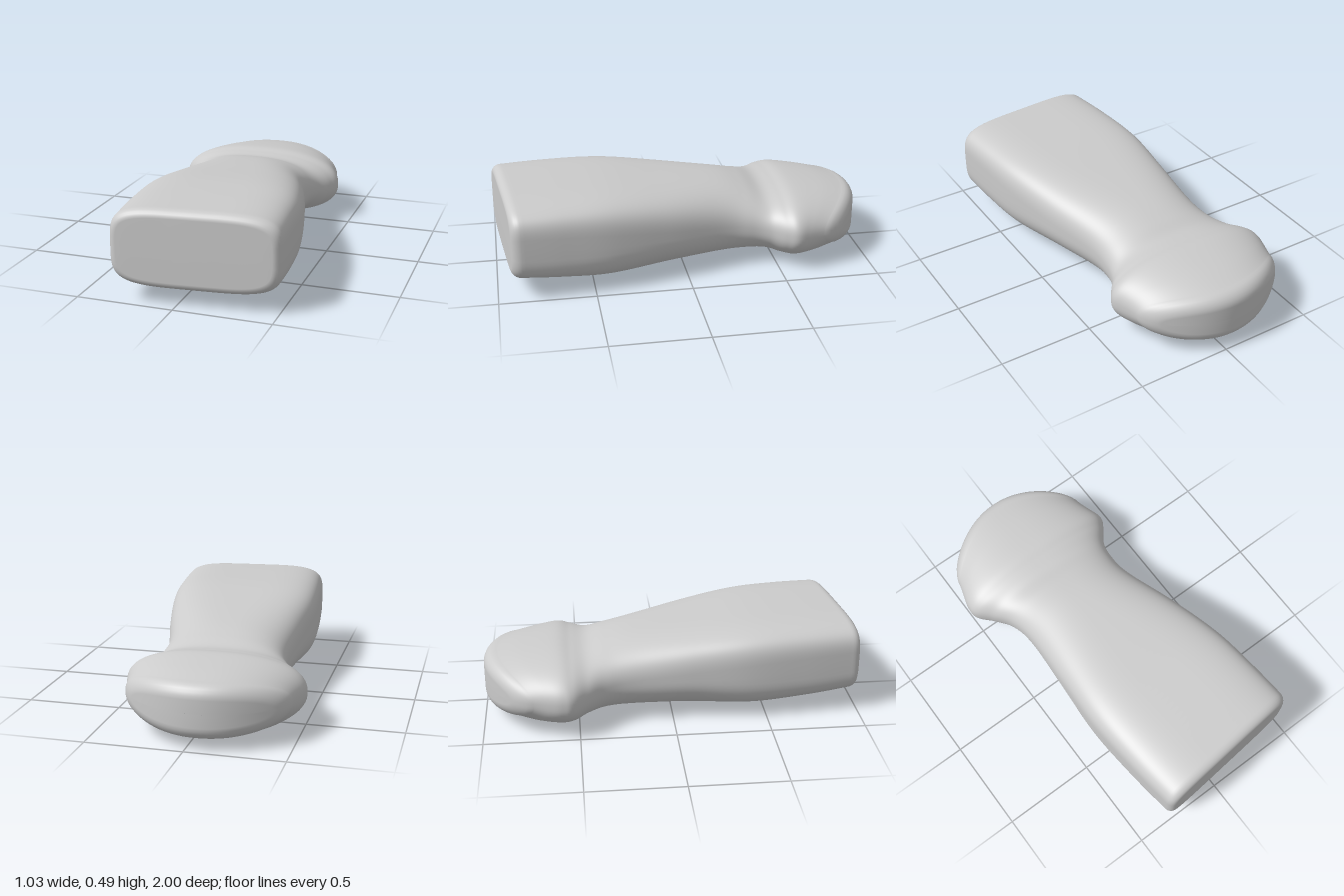
import * as THREE from 'three';

// Outline from back to front: z, left x, right x, bottom y, top y
const outline = [
  [-0.93, -0.475, 0.37, 0.055, 0.335],
  [-0.80, -0.50, 0.395, 0.022, 0.36],
  [-0.62, -0.514, 0.412, 0.003, 0.38],
  [-0.53, -0.505, 0.385, 0.012, 0.37],
  [-0.45, -0.44, 0.33, 0.03, 0.366],
  [-0.35, -0.375, 0.307, 0.03, 0.395],
  [-0.20, -0.35, 0.315, 0.024, 0.425],
  [0.10, -0.365, 0.40, 0.018, 0.458],
  [0.40, -0.38, 0.467, 0.022, 0.485],
  [0.70, -0.358, 0.495, 0.056, 0.492],
  [0.95, -0.328, 0.512, 0.085, 0.49],
];
const SIDES = 96, STEPS = 8, CAP_STEPS = 6;
const smooth = THREE.MathUtils.smoothstep;

// Catmull-Rom blend of neighbouring outline rows
function rowAt(t) {
  const last = outline.length - 1;
  const i = Math.min(Math.floor(t), last - 1), f = t - i;
  const at = (k) => outline[Math.max(0, Math.min(last, k))];
  return at(i).map((p1, c) => {
    const p0 = at(i - 1)[c], p2 = at(i + 1)[c], p3 = at(i + 2)[c];
    return p1 + 0.5 * f * (p2 - p0 + f * (2 * p0 - 5 * p1 + 4 * p2 - p3 + f * (3 * (p1 - p2) + p3 - p0)));
  });
}

// Quarter-round rim of the given depth and inset, then a flat end face
function cap([z, l, r, b, t], depth, inset) {
  const rows = [];
  for (let i = 1; i <= CAP_STEPS; i++) {
    const a = (i / CAP_STEPS) * Math.PI / 2, d = inset * (1 - Math.cos(a));
    rows.push([z + depth * Math.sin(a), l + d, r - d, b + d, t - d]);
  }
  const y = (b + t) / 2, d = inset + 0.05;
  rows.push([z + depth, l + d, r - d, y, y]);
  return rows;
}

// One rounded ring: squarer towards the front, bowed at the back, slanted at the front
function ring([z, l, r, b, t]) {
  const squareTop = 2.4 + 2.1 * smooth(z, -0.4, 0.6);
  const squareBottom = 2.25 + 2 * smooth(z, 0, 0.95);
  const bow = 1.15 * smooth(-z, 0.5, 1), slant = 0.1 * smooth(z, 0.3, 0.95);
  const cx = (l + r) / 2, cy = (b + t) / 2, pts = [];
  for (let j = 0; j < SIDES; j++) {
    const a = (j / SIDES) * Math.PI * 2, c = Math.cos(a), s = Math.sin(a);
    const e = 2 / (s >= 0 ? squareTop : squareBottom);
    const x = cx + ((r - l) / 2) * Math.sign(c) * Math.abs(c) ** e;
    const y = cy + ((t - b) / 2) * Math.sign(s) * Math.abs(s) ** e;
    pts.push(x, y, z + bow * (x + 0.05) ** 2 - slant * (x + 0.3));
  }
  return pts;
}

// Skin over all rings
function loft(rows) {
  const index = [];
  for (let i = 0; i < rows.length - 1; i++) {
    for (let j = 0; j < SIDES; j++) {
      const a = i * SIDES + j, b = i * SIDES + (j + 1) % SIDES;
      index.push(a, b, b + SIDES, a, b + SIDES, a + SIDES);
    }
  }
  const geo = new THREE.BufferGeometry();
  geo.setAttribute('position', new THREE.Float32BufferAttribute(rows.flatMap(ring), 3));
  geo.setIndex(index);
  geo.computeVertexNormals();
  return geo;
}

export function createModel() {
  const group = new THREE.Group();
  group.name = 'handheldDevice';

  const rows = [];
  const count = (outline.length - 1) * STEPS;
  for (let i = 0; i <= count; i++) rows.push(rowAt(i / STEPS));
  const backCap = cap(outline[0], -0.07, 0.07).reverse();
  const frontCap = cap(outline[outline.length - 1], 0.05, 0.04);

  // Rounded head, narrow neck and box-shaped front in one smooth skin
  const body = new THREE.Mesh(
    loft([...backCap, ...rows, ...frontCap]),
    new THREE.MeshStandardMaterial({ color: 0xcccccc }),
  );
  body.name = 'bodyShell';
  group.add(body);
  return group;
}
